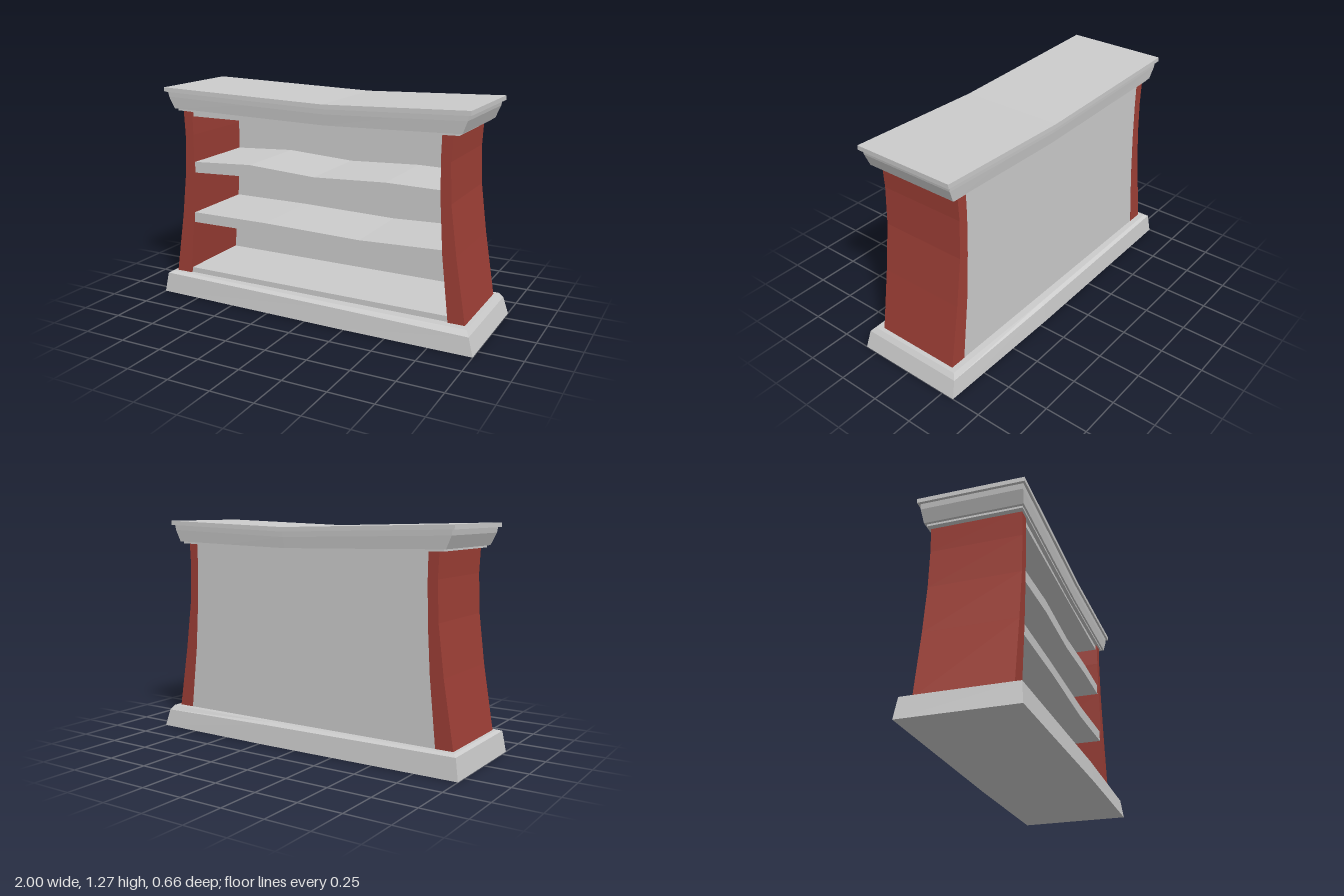
import * as THREE from 'three';

const grey = new THREE.MeshStandardMaterial({ color: 0xcccccc, flatShading: true });
const red = new THREE.MeshStandardMaterial({ color: 0x9e3f36, flatShading: true });

function part(name, geometry, material) {
  const mesh = new THREE.Mesh(geometry, material);
  mesh.name = name;
  return mesh;
}

// Upright outline in x/y, given depth from zBack to zFront
function plate(name, outline, zBack, zFront, material) {
  const shape = new THREE.Shape(outline.map(([x, y]) => new THREE.Vector2(x, y)));
  const geometry = new THREE.ExtrudeGeometry(shape, { depth: zFront - zBack, bevelEnabled: false });
  return part(name, geometry.translate(0, 0, zBack), material);
}

// Stacked rectangular rings, bent slightly along x.
// levels: [xLeft, xRight, zFront, zBack, y, dropWeight]; columns: [x, drop, frontShift, backShift]
function moulding(name, levels, columns) {
  const n = columns.length;
  const rings = levels.map(([x0, x1, zf, zb, y, weight]) => {
    const row = (z, shift) => columns.map((c, i) => [
      i === 0 ? x0 : i === n - 1 ? x1 : c[0], y - c[1] * weight, z + c[shift]]);
    return [...row(zf, 2), ...row(zb, 3).reverse()];
  });
  const position = [];
  const quad = (a, b, c, d) => position.push(...a, ...b, ...c, ...a, ...c, ...d);
  for (let k = 0; k < rings.length - 1; k++) {
    for (let i = 0; i < 2 * n; i++) {
      const j = (i + 1) % (2 * n);
      quad(rings[k][i], rings[k][j], rings[k + 1][j], rings[k + 1][i]);
    }
  }
  const bottom = rings[0], top = rings[rings.length - 1];
  for (let i = 0; i < n - 1; i++) {
    const back = 2 * n - 1 - i;
    quad(top[i], top[i + 1], top[back - 1], top[back]);
    quad(bottom[back], bottom[back - 1], bottom[i + 1], bottom[i]);
  }
  const geometry = new THREE.BufferGeometry();
  geometry.setAttribute('position', new THREE.Float32BufferAttribute(position, 3));
  geometry.computeVertexNormals();
  return part(name, geometry, grey);
}

export function createModel() {
  const model = new THREE.Group();
  model.name = 'bookcase';

  // Plinth with a chamfered upper edge that runs down to the right
  model.add(moulding('base', [
    [-1, 1, 0.33, -0.33, 0, 0],
    [-0.98, 0.97, 0.318, -0.318, 0.12, 1],
    [-0.96, 0.95, 0.293, -0.298, 0.13, 0],
  ], [[-1, 0, -0.02, 0.005], [0.2, 0.005, 0, -0.004], [1, 0.018, 0, 0.005]]));

  // Flared side panels
  const heights = [0.125, 0.5, 0.78, 1.0, 1.147];
  const curve = xs => xs.map((x, i) => [x, heights[i]]);
  const leftOuter = curve([-0.942, -0.88, -0.845, -0.836, -0.843]);
  const leftInner = curve([-0.84, -0.802, -0.785, -0.78, -0.782]);
  const rightOuter = curve([0.926, 0.863, 0.825, 0.815, 0.822]);
  const rightInner = curve([0.83, 0.786, 0.767, 0.76, 0.763]);
  model.add(plate('rightSidePanel', [...leftInner, ...[...leftOuter].reverse()], -0.26, 0.25, red));
  model.add(plate('leftSidePanel', [...rightOuter, ...[...rightInner].reverse()], -0.26, 0.25, red));

  // Back board between the sides
  model.add(plate('backPanel', [...rightInner, ...[...leftInner].reverse()], -0.259, -0.235, grey));

  // Bottom, warped shelves and top board: upper and lower edges, both left to right
  const boards = {
    bottomBoard: [[[-0.86, 0.162], [0.85, 0.162]], [[-0.86, 0.12], [0.85, 0.12]]],
    lowerShelf: [
      [[-0.82, 0.52], [-0.3, 0.52], [0.3, 0.507], [0.8, 0.525]],
      [[-0.82, 0.458], [-0.3, 0.46], [0.3, 0.44], [0.8, 0.46]]],
    upperShelf: [
      [[-0.8, 0.833], [-0.4, 0.855], [0.02, 0.83], [0.45, 0.85], [0.78, 0.845]],
      [[-0.8, 0.768], [-0.4, 0.785], [0.02, 0.765], [0.45, 0.785], [0.78, 0.782]]],
    topBoard: [[[-0.8, 1.145], [0.78, 1.145]], [[-0.8, 1.108], [0.78, 1.108]]],
  };
  for (const [name, [upper, lower]] of Object.entries(boards)) {
    model.add(plate(name, [...lower, ...[...upper].reverse()], -0.245, 0.24, grey));
  }

  // Sagging cornice: foot, cove and top slab
  model.add(moulding('cornice', [
    [-0.872, 0.858, 0.262, -0.272, 1.14, 0.7],
    [-0.872, 0.858, 0.262, -0.272, 1.152, 0.75],
    [-0.888, 0.876, 0.273, -0.282, 1.152, 0.75],
    [-0.92, 0.903, 0.281, -0.29, 1.22, 1],
    [-0.925, 0.908, 0.283, -0.292, 1.25, 1],
    [-0.942, 0.925, 0.296, -0.304, 1.25, 1],
    [-0.942, 0.925, 0.296, -0.304, 1.275, 1],
  ], [[-0.94, 0, 0, 0], [-0.4, 0.014, 0, 0], [0.1, 0.027, 0, 0], [0.5, 0.014, 0, 0], [0.92, 0, 0, 0]]));

  return model;
}
